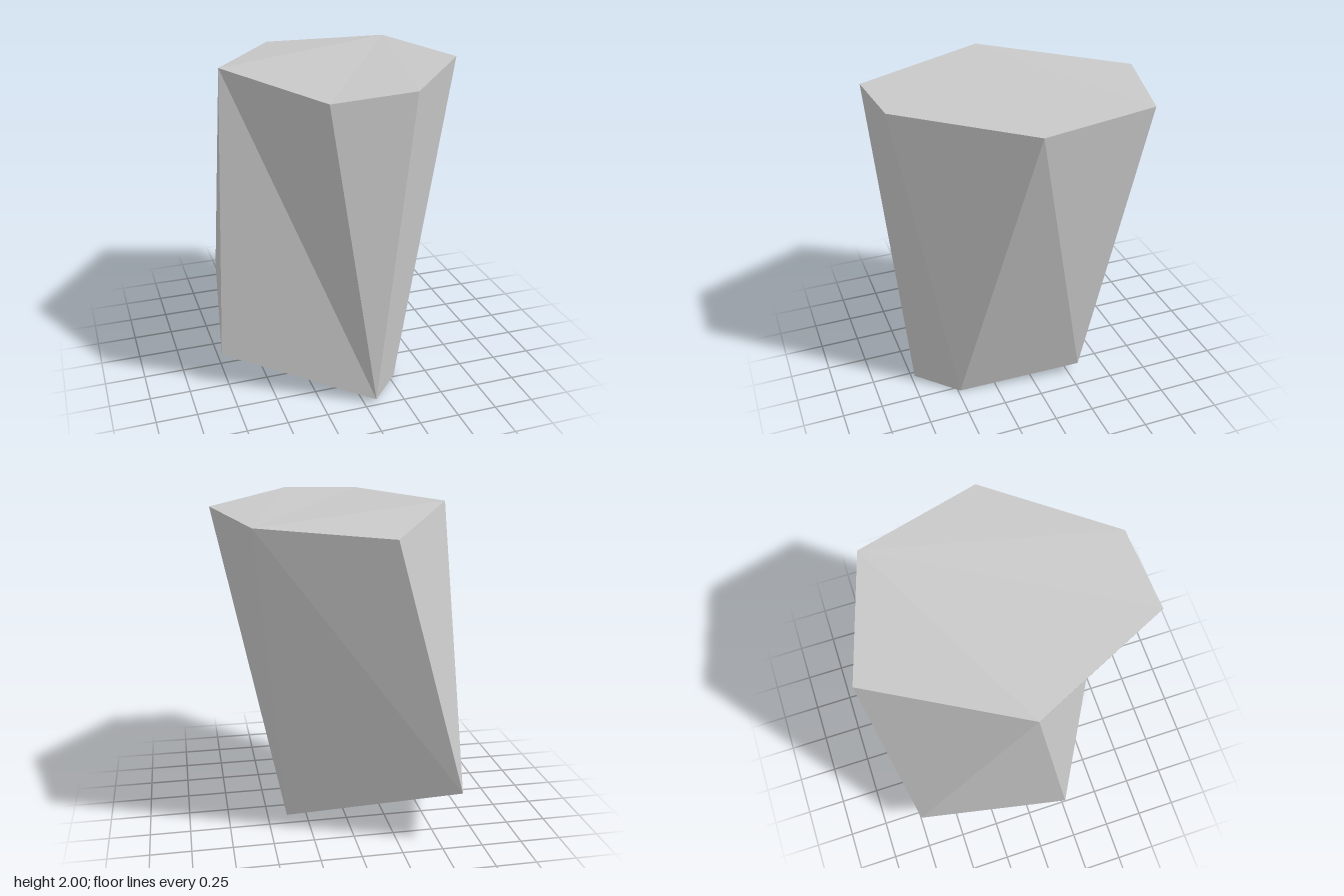
import * as THREE from 'three';

// Corners around the wide, nearly level top (a-f) and the narrower, tilted underside (p-t)
const CORNERS = {
  a: [-0.67, 1.995, 0.01], b: [-0.16, 1.92, -0.855], c: [0.59, 1.965, -0.62],
  d: [0.78, 1.98, 0.13], e: [0.23, 2.0, 0.825], f: [-0.275, 1.985, 0.855],
  p: [-0.785, 0.225, 0.245], q: [0.07, 0.03, 0.735], r: [0.285, 0.0, 0.485],
  s: [0.395, 0.085, -0.305], t: [-0.615, 0.355, -0.74],
};

// Facets as corner loops, counter-clockwise from outside, each fanned from its first corner
const FACETS = [
  'cbafed', // top
  'srqpt', // underside
  'apq', 'aqf', 'efqr', 'erd', // front
  'drsc', // right-hand side
  'cstb', // back
  'tpab', // left-hand side
];

function facetedGeometry() {
  const positions = [];
  for (const loop of FACETS) {
    for (let i = 1; i < loop.length - 1; i++) {
      for (const key of [loop[0], loop[i], loop[i + 1]]) positions.push(...CORNERS[key]);
    }
  }
  const geometry = new THREE.BufferGeometry();
  geometry.setAttribute('position', new THREE.Float32BufferAttribute(positions, 3));
  geometry.computeVertexNormals(); // unshared corners give flat facets
  return geometry;
}

export function createModel() {
  const group = new THREE.Group();
  group.name = 'rock';

  const stone = new THREE.MeshStandardMaterial({ color: 0xc8c8c8 });
  stone.name = 'grey stone';

  const block = new THREE.Mesh(facetedGeometry(), stone);
  block.name = 'rockBlock';
  group.add(block);

  return group;
}
